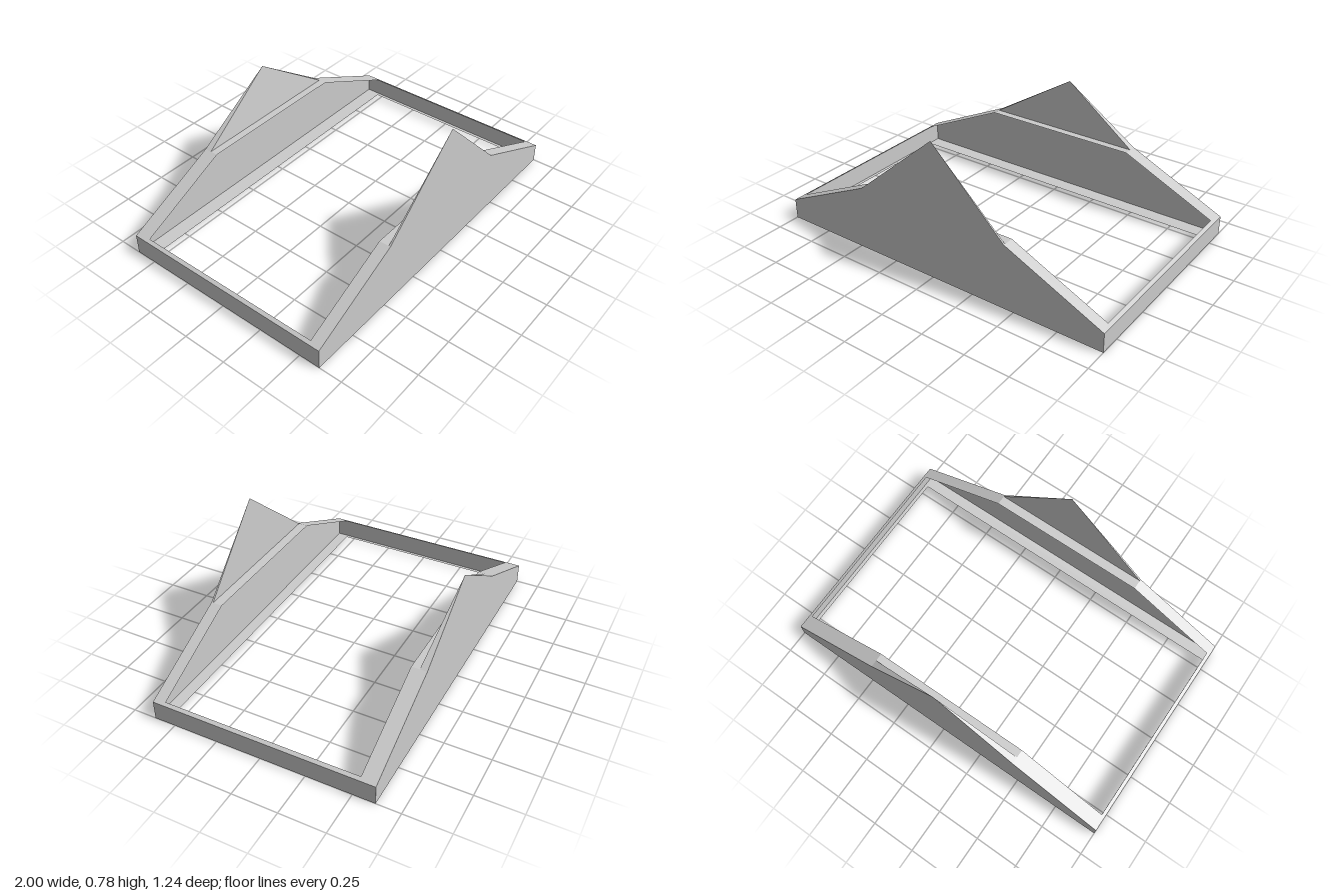
import * as THREE from 'three';

const grey = new THREE.MeshStandardMaterial({ color: 0xcccccc, side: THREE.DoubleSide, flatShading: true });

// Thin sheet from a list of convex faces, each a loop of [x, y, z] corners
function sheet(name, faces) {
  const pos = [];
  for (const f of faces)
    for (let i = 1; i < f.length - 1; i++) pos.push(...f[0], ...f[i], ...f[i + 1]);
  const geo = new THREE.BufferGeometry();
  geo.setAttribute('position', new THREE.Float32BufferAttribute(pos, 3));
  geo.computeVertexNormals();
  const mesh = new THREE.Mesh(geo, grey);
  mesh.name = name;
  return mesh;
}

// Stepped profile shared by both long sides: outer rim and the inner rim of the flange
const rimOuter = [[-1, 0.115], [-0.465, 0.365], [0.445, 0.365], [1, 0.108]];
const rimInner = [[-0.98, 0.124], [-0.465, 0.365], [0.445, 0.365], [0.98, 0.117]];

const sides = [
  { name: 'front', zOut: 0.62, zIn: 0.555, zFoot: 0.61, peak: [0.02, 0.78] },
  { name: 'back', zOut: -0.62, zIn: -0.535, zFoot: -0.58, peak: [0.01, 0.66] },
];

function gableSide({ name, zOut, zIn, zFoot, peak }) {
  const group = new THREE.Group();
  group.name = name + 'Side';
  const s = Math.sign(zOut);
  const orient = f => (s > 0 ? f : [...f].reverse());

  // Upright outer wall with a pointed top
  const outline = [[-1, 0], [1, 0], rimOuter[3], rimOuter[2], peak, rimOuter[1], rimOuter[0]];
  const geo = new THREE.ShapeGeometry(new THREE.Shape(outline.map(p => new THREE.Vector2(...p))));
  if (s < 0) geo.index.array.reverse();
  geo.translate(0, 0, zOut);
  geo.computeVertexNormals();
  const wall = new THREE.Mesh(geo, grey);
  wall.name = name + 'Wall';
  group.add(wall);

  // Top flange following the slopes and the level middle
  const o = rimOuter.map(p => [...p, zOut]);
  const n = rimInner.map(p => [...p, zIn]);
  const flange = [0, 1, 2].map(i => orient([o[i], n[i], n[i + 1], o[i + 1]]));
  group.add(sheet(name + 'TopFlange', flange));

  // Tapered inner face of the peak
  const tip = [...peak, zOut];
  const footL = [...rimOuter[1], zFoot], footR = [...rimOuter[2], zFoot];
  group.add(sheet(name + 'PeakTaper', [
    [tip, footR, footL],
    [tip, footL, o[1]],
    [tip, o[2], footR],
  ].map(orient)));
  return group;
}

export function createModel() {
  const model = new THREE.Group();
  model.name = 'gabledFrame';
  for (const side of sides) model.add(gableSide(side));

  // Low end walls with their narrow top flanges
  const [f, b] = sides;
  for (const [name, i, s] of [['right', 0, -1], ['left', 3, 1]]) {
    const [x, y] = rimOuter[i], [xi, yi] = rimInner[i];
    const orient = q => (s > 0 ? q : [...q].reverse());
    model.add(sheet(name + 'EndWall', [
      orient([[x, 0, f.zOut], [x, 0, b.zOut], [x, y, b.zOut], [x, y, f.zOut]]),
    ]));
    model.add(sheet(name + 'EndFlange', [
      orient([[x, y, f.zOut], [x, y, b.zOut], [xi, yi, b.zIn], [xi, yi, f.zIn]]),
    ]));
  }

  // Flat bottom flange around the open middle
  const outer = [[-1, f.zOut], [-1, b.zOut], [1, b.zOut], [1, f.zOut]];
  const inner = [[-0.98, f.zIn], [-0.98, b.zIn], [0.98, b.zIn], [0.98, f.zIn]];
  const at = ([x, z]) => [x, 0, z];
  model.add(sheet('bottomFlange', outer.map((p, i) => {
    const j = (i + 1) % 4;
    return [at(p), at(inner[i]), at(inner[j]), at(outer[j])];
  })));
  return model;
}
